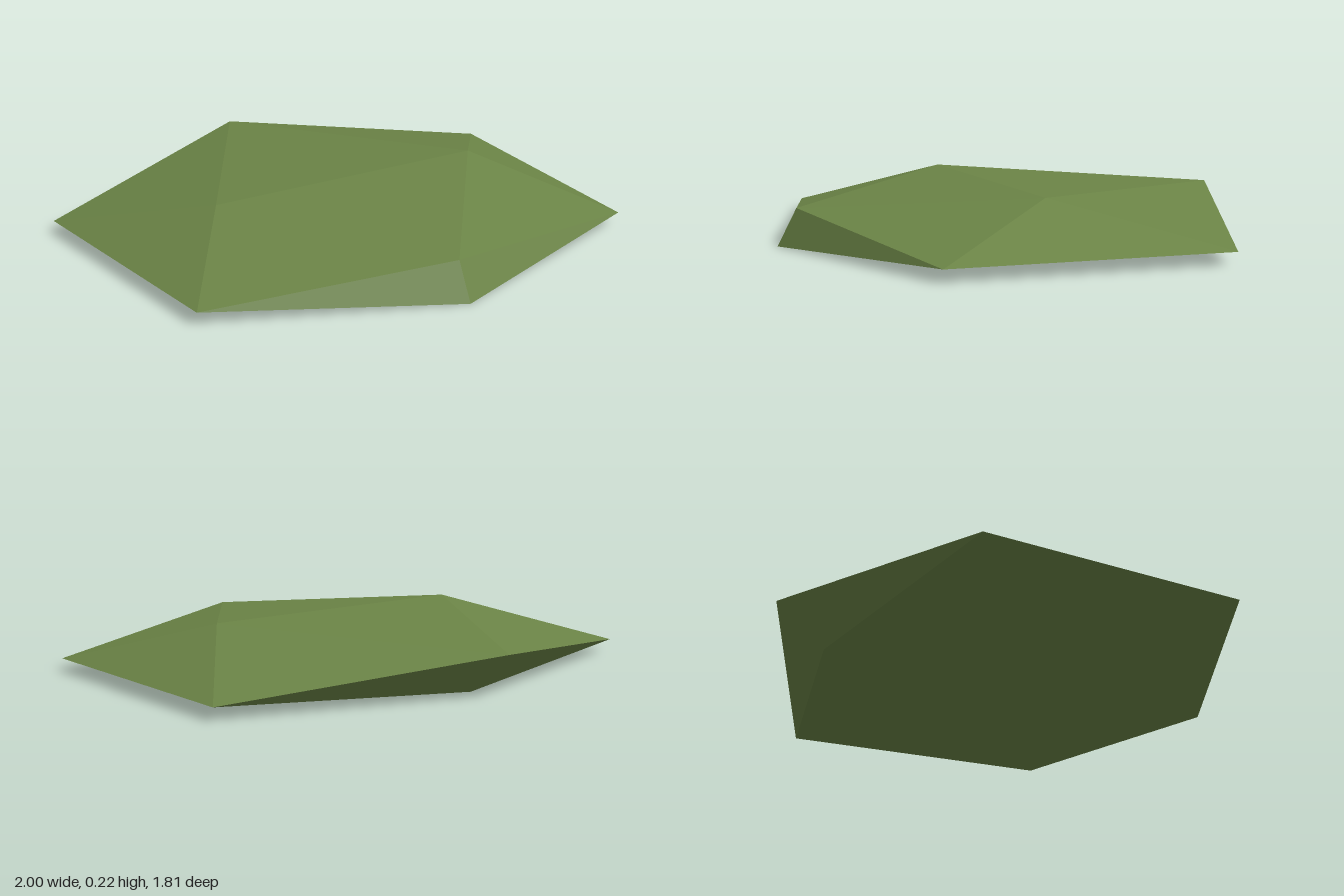
import * as THREE from 'three';

// Corners of a flattened, slightly irregular twenty-sided boulder.
const corners = [
  [-0.57, 0.21, 0.06], [0.58, 0.215, 0.06],    // top ridge
  [-0.57, 0, 0.03], [0.6, 0, 0.03],            // underside ridge
  [0, 0, 0.905], [0, 0.142, 0.83],             // front: low, high
  [0, 0, -0.71], [0, 0.165, -0.905],           // back: low, high
  [1, 0.048, -0.5], [0.94, 0.048, 0.585],      // left side: back, front
  [-1, 0.048, -0.49], [-0.91, 0.048, 0.56],    // right side: back, front
];

// Icosahedron faces, in four rings of five.
const faces = [
  0, 11, 5, 0, 5, 1, 0, 1, 7, 0, 7, 10, 0, 10, 11,
  1, 5, 9, 5, 11, 4, 11, 10, 2, 10, 7, 6, 7, 1, 8,
  3, 9, 4, 3, 4, 2, 3, 2, 6, 3, 6, 8, 3, 8, 9,
  4, 9, 5, 2, 4, 11, 6, 2, 10, 8, 6, 7, 9, 8, 1,
];

export function createModel() {
  const group = new THREE.Group();
  group.name = 'mossyBoulder';

  const moss = new THREE.MeshStandardMaterial({ color: 0x6b8446, flatShading: true });
  moss.name = 'mossGreen';

  const indexed = new THREE.BufferGeometry();
  indexed.setAttribute('position', new THREE.Float32BufferAttribute(corners.flat(), 3));
  indexed.setIndex(faces);

  // Separate faces give each facet its own hard edge.
  const geometry = indexed.toNonIndexed();
  geometry.computeVertexNormals();

  const boulder = new THREE.Mesh(geometry, moss);
  boulder.name = 'boulder';
  group.add(boulder);
  return group;
}
